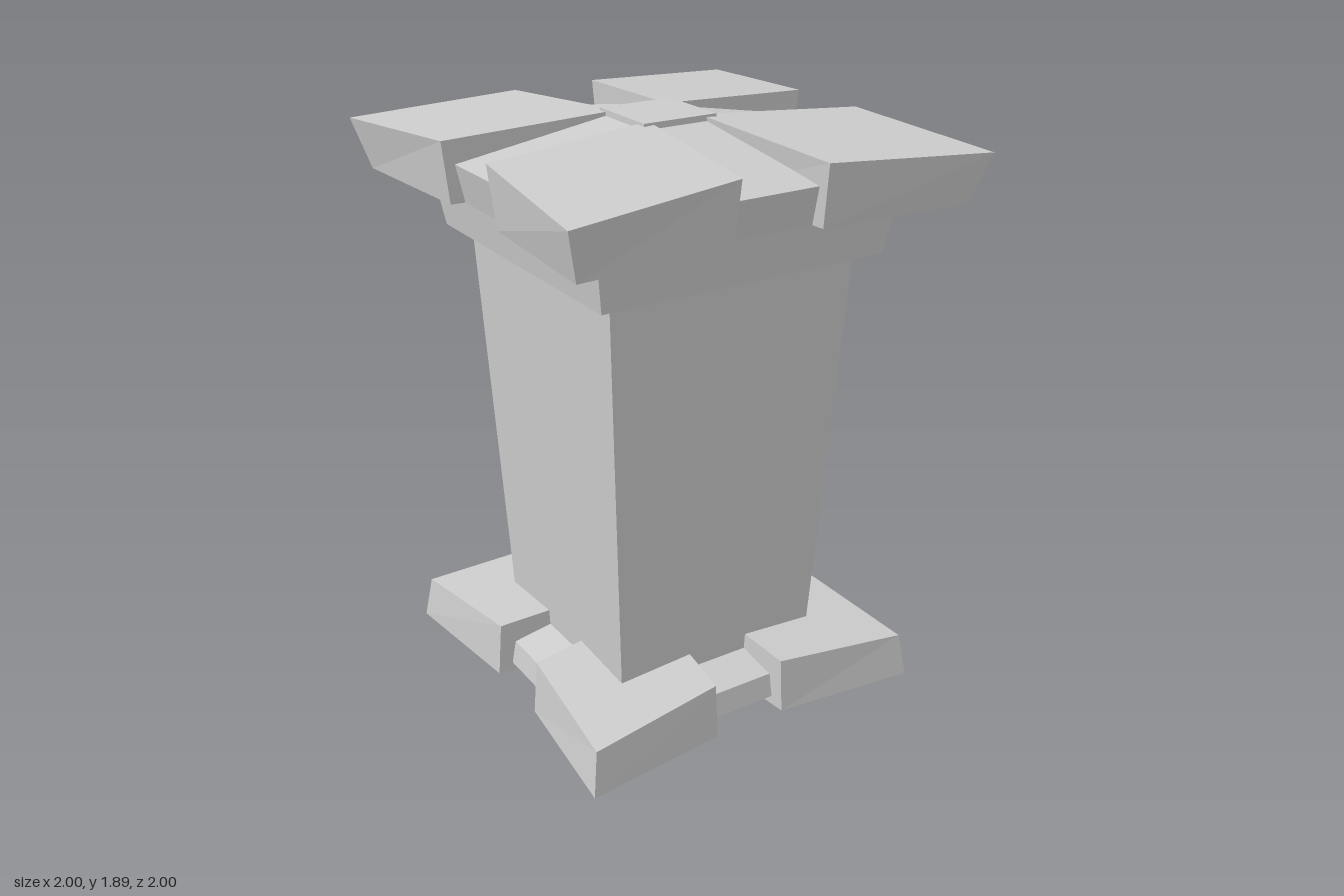
import * as THREE from 'three';

const material = new THREE.MeshStandardMaterial({ color: 0xcccccc, flatShading: true, side: THREE.DoubleSide });

// Square tier with its corners on the x and z axes; sections are [radius, y] from bottom to top
function tier(name, sections) {
  const profile = [[0, sections[0][1]], ...sections, [0, sections.at(-1)[1]]];
  const geometry = new THREE.LatheGeometry(profile.map(([r, y]) => new THREE.Vector2(r, y)), 4);
  const flat = geometry.toNonIndexed();
  flat.computeVertexNormals();
  const mesh = new THREE.Mesh(flat, material);
  mesh.name = name;
  return mesh;
}

// Kite-shaped slab lofted between two four-cornered outlines; the top slopes down towards the tip
function kiteGeometry(bottom, top) {
  const ring = ({ inner, side, half, tip, yInner, ySide, yTip }) => [
    [0, yInner, inner], [-half, ySide, side], [0, yTip, tip], [half, ySide, side],
  ];
  const points = [...ring(bottom), ...ring(top)];
  const index = [0, 3, 2, 0, 2, 1, 4, 5, 6, 4, 6, 7];
  for (let i = 0; i < 4; i++) {
    const j = (i + 1) % 4;
    index.push(i, j, j + 4, i, j + 4, i + 4);
  }
  const geometry = new THREE.BufferGeometry();
  geometry.setAttribute('position', new THREE.Float32BufferAttribute(points.flat(), 3));
  geometry.setIndex(index);
  const flat = geometry.toNonIndexed();
  flat.computeVertexNormals();
  return flat;
}

// The same block on each of the four corners
function cornerBlocks(name, geometry) {
  const group = new THREE.Group();
  group.name = name + 's';
  for (let i = 0; i < 4; i++) {
    const mesh = new THREE.Mesh(geometry, material);
    mesh.name = name;
    mesh.rotation.y = i * Math.PI / 2;
    group.add(mesh);
  }
  return group;
}

export function createModel() {
  const model = new THREE.Group();
  model.name = 'pedestal';

  // Base: low sloped plinth between four corner feet
  model.add(tier('basePlinth', [[0.72, 0.03], [0.7, 0.11], [0.2, 0.2]]));
  model.add(cornerBlocks('cornerFoot', kiteGeometry(
    { inner: 0.11, side: 0.485, half: 0.305, tip: 0.865, yInner: 0, ySide: 0, yTip: 0 },
    { inner: 0.115, side: 0.475, half: 0.295, tip: 0.835, yInner: 0.22, ySide: 0.184, yTip: 0.148 },
  )));

  // Shaft widening upwards, and the collar under the cap
  model.add(tier('shaft', [[0.51, 0.03], [0.61, 1.5]]));
  model.add(tier('collar', [[0.695, 1.49], [0.735, 1.665]]));

  // Cap: sloped slab between four corner slabs, with a small square on top
  model.add(tier('capSlab', [[0.82, 1.66], [0.86, 1.78], [0.17, 1.875]]));
  model.add(cornerBlocks('capCorner', kiteGeometry(
    { inner: 0.165, side: 0.55, half: 0.335, tip: 0.935, yInner: 1.66, ySide: 1.66, yTip: 1.66 },
    { inner: 0.125, side: 0.5625, half: 0.355, tip: 1, yInner: 1.888, ySide: 1.854, yTip: 1.82 },
  )));
  model.add(tier('capCentre', [[0.18, 1.86], [0.18, 1.893]]));

  return model;
}
